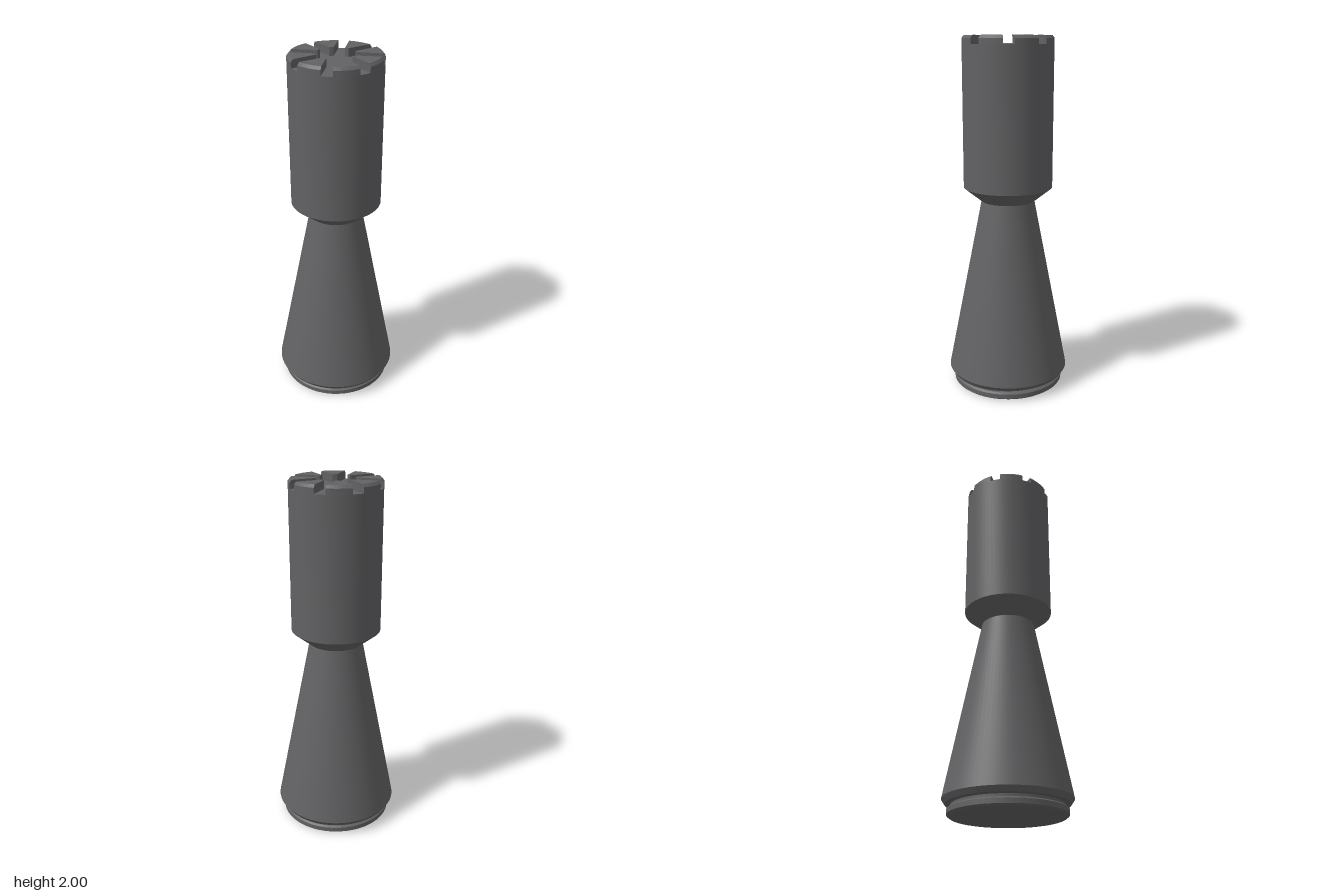
import * as THREE from 'three';
import { toCreasedNormals } from 'three/addons/utils/BufferGeometryUtils.js';

const SIDES = 64;
const HEAD_R = 0.25, WELL_R = 0.105, FLOOR_Y = 1.955, TOP_Y = 2;
const TEETH = 8, SLOT_HALF = 0.03;

// Turned part from [radius, height] pairs, bottom to top
function turned(profile) {
  const points = profile.map(([r, y]) => new THREE.Vector2(r, y));
  return toCreasedNormals(new THREE.LatheGeometry(points, SIDES), 0.45);
}

// Crown tooth: a wedge between two parallel-sided slots, outer top edge chamfered
function toothGeometry() {
  const halfAngle = (r) => Math.PI / TEETH - Math.asin(SLOT_HALF / r);
  const shape = new THREE.Shape();
  const arc = (r, from, to, steps) => {
    for (let i = 0; i <= steps; i++) {
      const a = from + ((to - from) * i) / steps;
      const x = r * Math.cos(a), y = r * Math.sin(a);
      if (shape.curves.length || i || r !== WELL_R) shape.lineTo(x, y);
      else shape.moveTo(x, y);
    }
  };
  const inner = halfAngle(WELL_R), outer = halfAngle(HEAD_R);
  arc(WELL_R, inner, -inner, 2);
  arc(HEAD_R, -outer, outer, 6);
  shape.closePath();

  const depth = TOP_Y - FLOOR_Y;
  const geometry = new THREE.ExtrudeGeometry(shape, { depth, steps: 3, bevelEnabled: false });
  const p = geometry.attributes.position;
  for (let i = 0; i < p.count; i++) {
    const r = Math.hypot(p.getX(i), p.getY(i));
    if (p.getZ(i) > depth - 0.001 && r > HEAD_R - 0.01) {
      const k = (HEAD_R - 0.012) / r;
      p.setX(i, p.getX(i) * k);
      p.setY(i, p.getY(i) * k);
    }
  }
  geometry.rotateX(-Math.PI / 2);
  return toCreasedNormals(geometry, 0.45);
}

export function createModel() {
  const model = new THREE.Group();
  model.name = 'castlePiece';
  const charcoal = new THREE.MeshStandardMaterial({ color: 0x626264 });
  charcoal.name = 'charcoal';

  const add = (name, geometry) => {
    const mesh = new THREE.Mesh(geometry, charcoal);
    mesh.name = name;
    model.add(mesh);
    return mesh;
  };

  // Foot ring with a groove above it
  add('footRing', turned([
    [0, 0], [0.305, 0], [0.318, 0.01], [0.318, 0.036], [0.308, 0.044], [0.298, 0.046], [0.298, 0.062],
  ]));

  // Tapering skirt
  add('skirt', turned([
    [0.296, 0.06], [0.328, 0.063], [0.346, 0.09], [0.15, 1.09],
  ]));

  // Flared head, closed by the floor of the crown
  add('head', turned([
    [0.15, 1.09], [HEAD_R, 1.17], [HEAD_R, FLOOR_Y], [0, FLOOR_Y],
  ]));

  // Ring of crown teeth, one facing each axis and diagonal
  const crown = new THREE.Group();
  crown.name = 'crown';
  const tooth = toothGeometry();
  for (let i = 0; i < TEETH; i++) {
    const mesh = new THREE.Mesh(tooth, charcoal);
    mesh.name = 'crownTooth';
    mesh.position.y = FLOOR_Y;
    mesh.rotation.y = (i * 2 * Math.PI) / TEETH;
    crown.add(mesh);
  }
  model.add(crown);
  return model;
}
